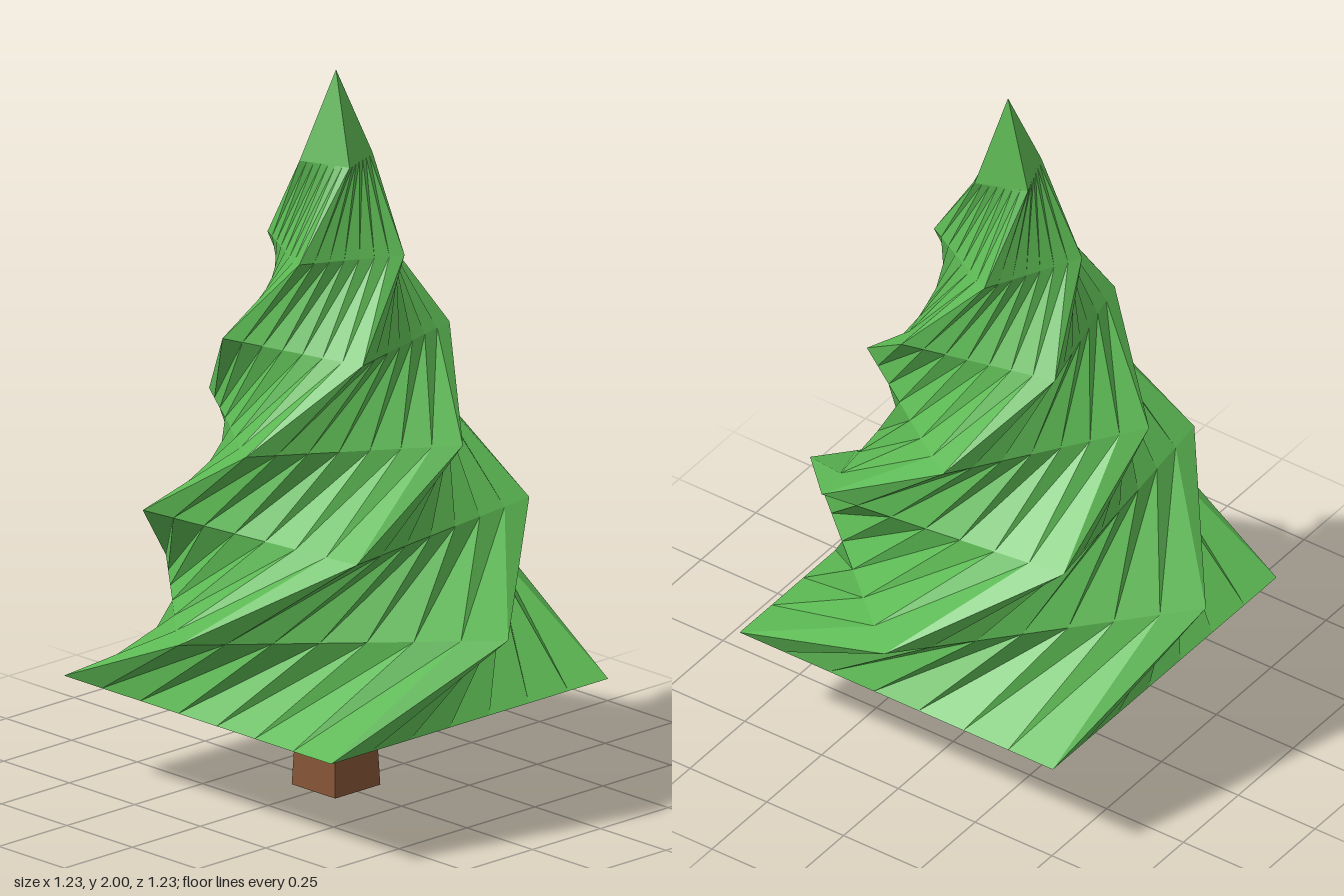
import * as THREE from 'three';

const LEVELS = 7;            // rings up the foliage
const SPLITS = 7;            // pieces along each side of the square
const BASE_Y = 0.3, TOP_Y = 2, HALF = 0.51;
const TWIST = THREE.MathUtils.degToRad(340);

// Point j on the twisted, tapered square ring k
function ringPoint(k, j) {
  const t = k / LEVELS;
  const side = Math.floor(j / SPLITS);
  const u = (j % SPLITS) / SPLITS;
  return new THREE.Vector3(-HALF + 2 * HALF * u, 0, HALF)
    .multiplyScalar(1 - t)
    .applyAxisAngle(new THREE.Vector3(0, 1, 0), side * Math.PI / 2 + t * TWIST)
    .setY(BASE_Y + t * (TOP_Y - BASE_Y));
}

// Square pyramid, finely divided and twisted about its axis
function foliageGeometry() {
  const count = 4 * SPLITS, points = [], index = [];
  for (let k = 0; k <= LEVELS; k++) {
    for (let j = 0; j < count; j++) points.push(ringPoint(k, j));
  }
  for (let k = 0; k < LEVELS; k++) {
    for (let j = 0; j < count; j++) {
      const a = k * count + j, b = k * count + (j + 1) % count;
      const c = b + count, d = a + count;
      index.push(a, b, d);
      if (k < LEVELS - 1) index.push(b, c, d);
    }
  }
  // Flat underside
  const s = SPLITS;
  index.push(0, 2 * s, s, 0, 3 * s, 2 * s);
  const geometry = new THREE.BufferGeometry().setFromPoints(points);
  geometry.setIndex(index);
  const flat = geometry.toNonIndexed();
  flat.computeVertexNormals();
  return flat;
}

export function createModel() {
  const model = new THREE.Group();
  model.name = 'tree';

  const foliage = new THREE.Mesh(
    foliageGeometry(),
    new THREE.MeshStandardMaterial({ color: 0x5cb853, flatShading: true })
  );
  foliage.name = 'foliage';

  // Tapered square trunk
  const trunk = new THREE.Mesh(
    new THREE.CylinderGeometry(0.07 * Math.SQRT2, 0.083 * Math.SQRT2, BASE_Y, 4).rotateY(Math.PI / 4),
    new THREE.MeshStandardMaterial({ color: 0x855535, flatShading: true })
  );
  trunk.name = 'trunk';
  trunk.position.y = BASE_Y / 2;

  model.add(foliage, trunk);
  return model;
}
